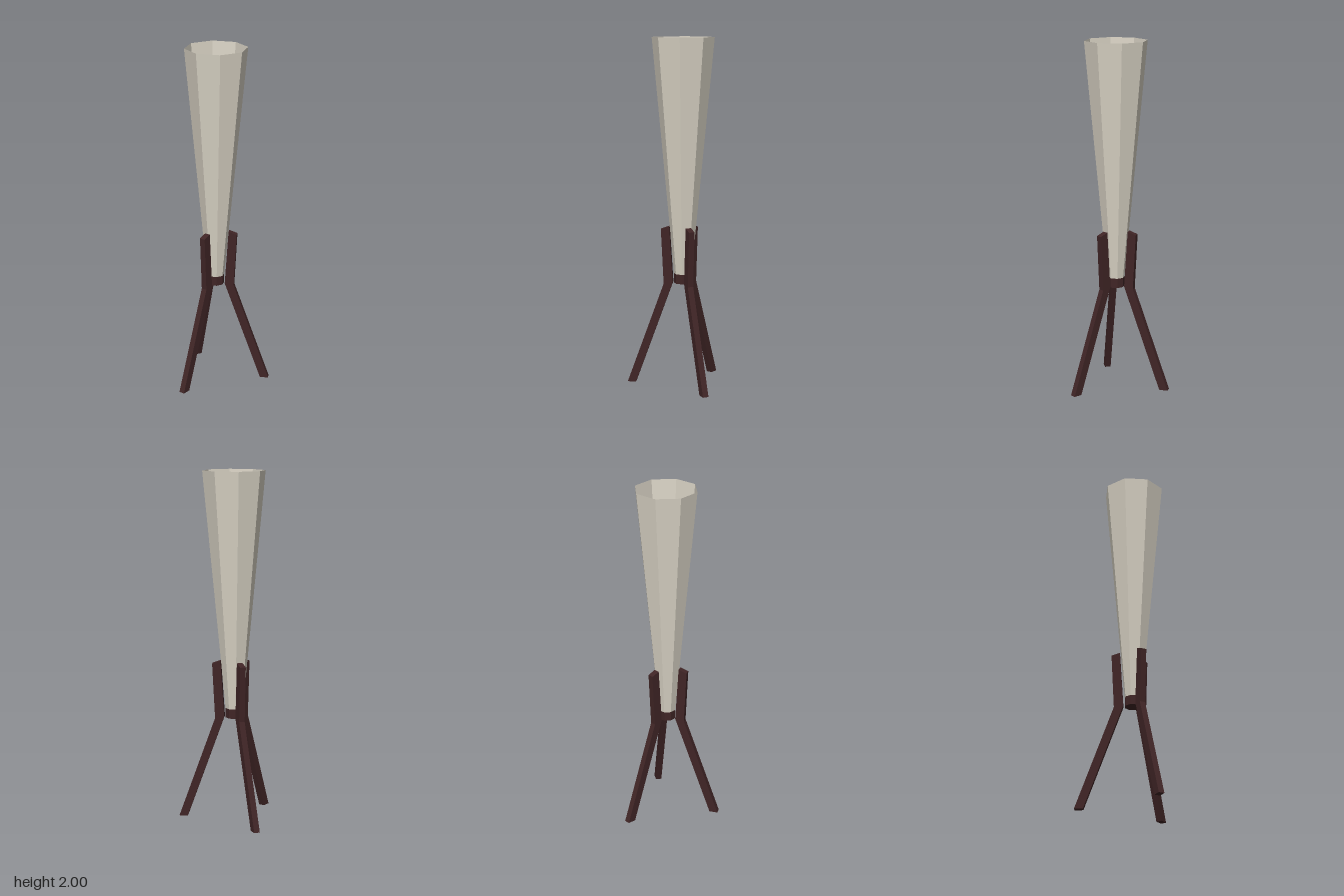
import * as THREE from 'three';

export function createModel() {
  const model = new THREE.Group();
  model.name = 'tripodFloorLamp';

  const shadeMat = new THREE.MeshStandardMaterial({ color: 0xd8d2c4, flatShading: true, side: THREE.DoubleSide });
  shadeMat.name = 'creamShade';
  const woodMat = new THREE.MeshStandardMaterial({ color: 0x402526, flatShading: true });
  woodMat.name = 'darkWood';

  // Everything is arranged around one axis, set back so the three feet are centred
  const lamp = new THREE.Group();
  lamp.name = 'lamp';
  lamp.position.z = -0.072;
  model.add(lamp);

  const add = (geometry, material, name, y = 0) => {
    const mesh = new THREE.Mesh(geometry, material);
    mesh.name = name;
    mesh.position.y = y;
    lamp.add(mesh);
    return mesh;
  };

  // Tall octagonal shade, open at both ends
  add(new THREE.CylinderGeometry(0.178, 0.05, 1.35, 8, 1, true), shadeMat, 'shade', 1.325);

  // Octagonal hub under the shade
  add(new THREE.CylinderGeometry(0.05, 0.05, 0.058, 8), woodMat, 'hub', 0.624);

  // Bent leg: side profile as (distance from axis, height)
  const profile = [
    [0.272, 0], [0.321, 0], [0.109, 0.59],
    [0.125, 0.908], [0.077, 0.925], [0.056, 0.6],
  ].map(([r, y]) => new THREE.Vector2(r, y));
  const width = 0.034;
  const legGeo = new THREE.ExtrudeGeometry(new THREE.Shape(profile), { depth: width, bevelEnabled: false });
  legGeo.translate(0, 0, -width / 2);
  legGeo.rotateY(-Math.PI / 2);

  ['frontLeg', 'backLeftLeg', 'backRightLeg'].forEach((name, i) => {
    add(legGeo, woodMat, name).rotation.y = (i * Math.PI * 2) / 3;
  });

  return model;
}
